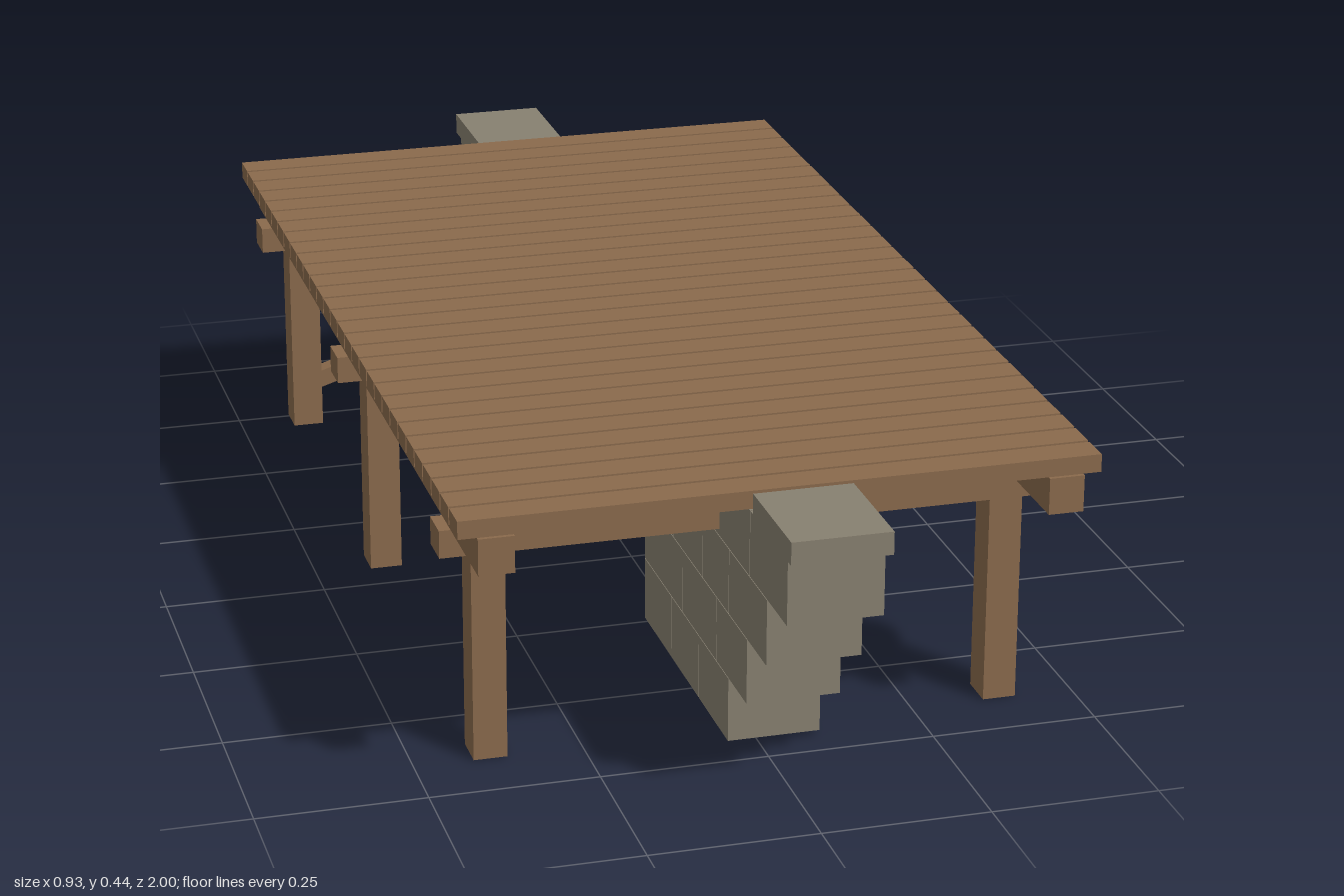
import * as THREE from 'three';

export function createModel() {
  const model = new THREE.Group();
  const wood = new THREE.MeshStandardMaterial({ color: 0x8a6a4c });
  wood.name = 'weathered wood';
  const stone = new THREE.MeshStandardMaterial({ color: 0x878070 });
  stone.name = 'grey stone';

  // Box given by its lower and upper limits on each axis
  function box(name, material, [x0, x1], [y0, y1], [z0, z1], parent = model) {
    const mesh = new THREE.Mesh(new THREE.BoxGeometry(x1 - x0, y1 - y0, z1 - z0), material);
    mesh.position.set((x0 + x1) / 2, (y0 + y1) / 2, (z0 + z1) / 2);
    mesh.name = name;
    parent.add(mesh);
    return mesh;
  }

  // Deck planks with narrow gaps
  const deck = new THREE.Group();
  deck.name = 'deck';
  model.add(deck);
  const count = 30, start = -0.822, pitch = 1.642 / count;
  for (let i = 0; i < count; i++) {
    const z = start + i * pitch;
    box('plank', wood, [-0.467, 0.467], [0.417, 0.444], [z, z + pitch - 0.006], deck);
  }

  // Long stringers under the deck
  for (const s of [-1, 1]) {
    box('stringer', wood, [s * 0.414 - 0.026, s * 0.414 + 0.026], [0.362, 0.417], [-0.82, 0.82]);
  }

  // Three trestles: a cross beam on two posts
  for (const z of [-0.73, -0.09, 0.623]) {
    const trestle = new THREE.Group();
    trestle.name = 'trestle';
    model.add(trestle);
    const depth = [z - 0.028, z + 0.028];
    box('crossBeam', wood, [-0.457, 0.457], [0.32, 0.362], depth, trestle);
    for (const x of [-0.387, 0.387]) {
      box('post', wood, [x - 0.025, x + 0.025], [0, 0.32], depth, trestle);
    }
  }

  // Diagonal brace on the rear trestle
  const outline = new THREE.Shape([
    new THREE.Vector2(-0.365, 0.06), new THREE.Vector2(0.365, 0.291),
    new THREE.Vector2(0.365, 0.32), new THREE.Vector2(-0.365, 0.09),
  ]);
  const brace = new THREE.Mesh(
    new THREE.ExtrudeGeometry(outline, { depth: 0.03, bevelEnabled: false }), wood);
  brace.name = 'diagonalBrace';
  brace.position.z = -0.745;
  model.add(brace);

  // Stepped stone piers: each course lists its block joints from inner to outer end
  const courses = [
    [0.25, 0.4, 0.55, 0.703],
    [0.25, 0.46, 0.64, 0.793],
    [0.25, 0.41, 0.567, 0.7, 0.885],
    [0.25, 0.43, 0.62, 0.8, 0.977],
  ];
  for (const s of [-1, 1]) {
    const pier = new THREE.Group();
    pier.name = s > 0 ? 'frontPier' : 'rearPier';
    model.add(pier);
    courses.forEach((joints, row) => {
      const y = 0.008 + row * 0.1005;
      for (let i = 0; i + 1 < joints.length; i++) {
        const a = joints[i] + 0.001, b = joints[i + 1] - 0.001;
        box('stoneBlock', stone, [-0.047, 0.092], [y, y + 0.099],
          s > 0 ? [a, b] : [-b, -a], pier);
      }
    });
    box('capStone', stone, [-0.05, 0.096], [0.409, 0.443], s > 0 ? [0.822, 1] : [-1, -0.824], pier);
  }

  return model;
}
